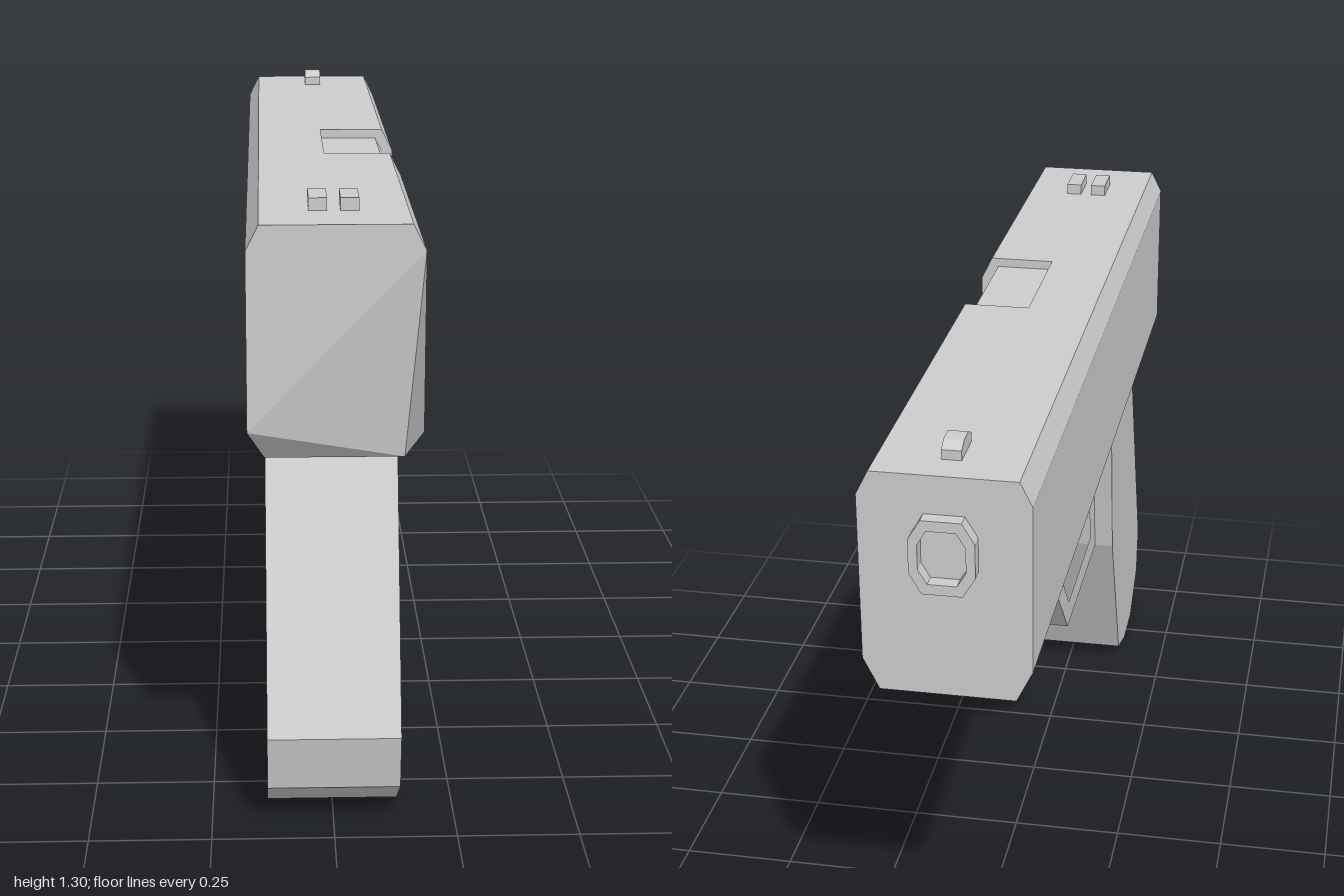
import * as THREE from 'three';

const material = new THREE.MeshStandardMaterial({ color: 0xcccccc, flatShading: true });

function toShape(points) {
  return new THREE.Shape(points.map(([a, b]) => new THREE.Vector2(a, b)));
}

function extrude(shape, depth) {
  return new THREE.ExtrudeGeometry(shape, { depth, bevelEnabled: false });
}

// Side profile given as (z, y), extruded symmetrically across x
function sideProfile(points, width, hole) {
  const shape = toShape(points);
  if (hole) shape.holes.push(toShape(hole));
  return extrude(shape, width).translate(0, 0, -width / 2).rotateY(-Math.PI / 2);
}

// Cross-section given as (x, y), extruded from z0 to z1
function section(points, z0, z1) {
  return extrude(toShape(points), z1 - z0).translate(0, 0, z0);
}

export function createModel() {
  const model = new THREE.Group();
  const add = (parent, name, geometry) => {
    const mesh = new THREE.Mesh(geometry, material);
    mesh.name = name;
    parent.add(mesh);
    return mesh;
  };

  // Slide: full section at both ends, recessed section at the ejection port
  const slide = new THREE.Group();
  slide.name = 'slide';
  model.add(slide);
  const leftHalf = [[-0.145, 1.27], [-0.17, 1.22], [-0.17, 0.865], [-0.137, 0.797]];
  const full = [...leftHalf, [0.137, 0.797], [0.17, 0.865], [0.17, 1.22], [0.145, 1.27]];
  const port = [
    ...leftHalf, [0.137, 0.797], [0.17, 0.865], [0.17, 1.12],
    [0.147, 1.12], [0.147, 1.215], [0.13, 1.25], [0, 1.25], [0, 1.27],
  ];
  const portFront = -0.07, portRear = 0.245;

  const rear = section(full, portRear, 1);
  const p = rear.attributes.position;
  for (let i = 0; i < p.count; i++) {
    // chamfer the lower rear edge
    if (p.getZ(i) > 0.99 && p.getY(i) < 0.82) p.setZ(i, 0.945);
  }
  add(slide, 'slideRear', rear);
  add(slide, 'ejectionPort', section(port, portFront, portRear));
  add(slide, 'slideFront', section(full, -0.97, portFront));

  // Muzzle ring: eight-sided with an open bore
  const octagon = (s) => [
    [0.065, 0.036], [0.04, 0.078], [-0.04, 0.078], [-0.065, 0.036],
    [-0.065, -0.036], [-0.04, -0.078], [0.04, -0.078], [0.065, -0.036],
  ].map(([x, y]) => [x * s, y * s]);
  const ring = toShape(octagon(1));
  ring.holes.push(toShape(octagon(0.72)));
  add(model, 'muzzle', extrude(ring, 0.03)).position.set(0, 1.112, -1);

  // Sights
  for (const side of [-1, 1]) {
    const sight = add(model, 'rearSight', new THREE.BoxGeometry(0.036, 0.025, 0.095));
    sight.position.set(side * 0.031, 1.2825, 0.823);
  }
  add(model, 'frontSight', sideProfile([
    [-0.805, 1.268], [-0.805, 1.29], [-0.83, 1.302],
    [-0.87, 1.302], [-0.895, 1.29], [-0.895, 1.268],
  ], 0.04));

  // Grip
  add(model, 'grip', sideProfile([
    [0.735, 0.8], [0.97, 0.205], [0.95, 0.087], [0.835, 0.003],
    [0.705, 0], [0.58, 0.04], [0.408, 0.44], [0.35, 0.8],
  ], 0.272));

  // Trigger guard frame and curved trigger
  add(model, 'triggerGuard', sideProfile(
    [[0.352, 0.8], [0.41, 0.438], [-0.04, 0.444], [-0.2, 0.615], [-0.2, 0.8]],
    0.18,
    [[0.268, 0.747], [0.32, 0.503], [-0.025, 0.503], [-0.135, 0.625], [-0.135, 0.747]],
  ));
  add(model, 'trigger', sideProfile([
    [0.23, 0.75], [0.245, 0.67], [0.225, 0.59], [0.165, 0.532],
    [0.073, 0.532], [0.13, 0.59], [0.155, 0.67], [0.138, 0.75],
  ], 0.1));

  return model;
}
